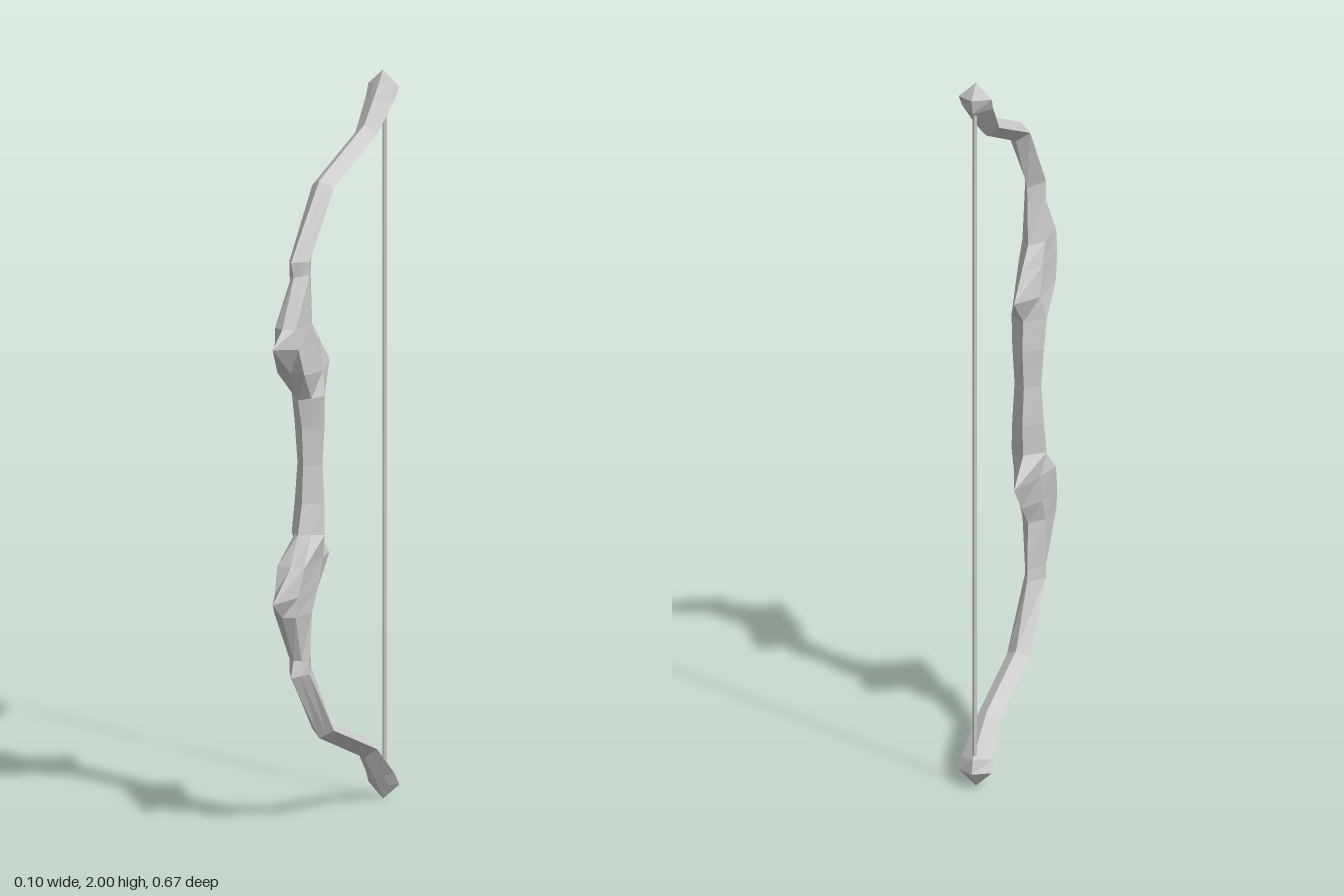
import * as THREE from 'three';

const material = new THREE.MeshStandardMaterial({ color: 0xcccccc, flatShading: true });

// One six-sided section: front ridge [z, y], side [x, z, y], back ridge [z, y],
// and a front corner [x, z, y] that lies midway between front and side unless given.
function section(front, side, back, corner) {
  const f = new THREE.Vector3(0, front[1], front[0]);
  const s = new THREE.Vector3(side[0], side[2], side[1]);
  const b = new THREE.Vector3(0, back[1], back[0]);
  const c = corner ? new THREE.Vector3(corner[0], corner[2], corner[1]) : f.clone().lerp(s, 0.5);
  const flip = (p) => new THREE.Vector3(-p.x, p.y, p.z);
  return [f, c, s, b, flip(s), flip(c)];
}

// Skin a stack of rings, leaving out collapsed triangles.
function loft(rings) {
  const points = [];
  const tri = (a, b, c) => {
    if (new THREE.Triangle(a, b, c).getArea() > 1e-8) points.push(a, b, c);
  };
  for (let r = 0; r + 1 < rings.length; r++) {
    const lo = rings[r], hi = rings[r + 1];
    for (let i = 0; i < lo.length; i++) {
      const j = (i + 1) % lo.length;
      tri(lo[i], lo[j], hi[j]);
      tri(lo[i], hi[j], hi[i]);
    }
  }
  const geometry = new THREE.BufferGeometry().setFromPoints(points);
  geometry.computeVertexNormals();
  return geometry;
}

export function createModel() {
  const group = new THREE.Group();
  group.name = 'bow';

  // Upper half, from the middle of the grip to the tip
  const upper = [
    section([0.16, 1.0], [0.038, 0.12, 1.0], [0.087, 1.0]),
    section([0.167, 1.105], [0.045, 0.122, 1.105], [0.075, 1.105]),
    section([0.19, 1.185], [0.05, 0.13, 1.19], [0.082, 1.19]),
    // Spiked guard: back spike, then front spike
    section([0.232, 1.265], [0.037, 0.115, 1.255], [0.008, 1.265], [0.041, 0.23, 1.265]),
    section([0.335, 1.35], [0.034, 0.14, 1.335], [0.068, 1.335], [0.036, 0.255, 1.34]),
    section([0.28, 1.395], [0.033, 0.17, 1.395], [0.12, 1.395], [0.031, 0.262, 1.395]),
    // Limb
    section([0.214, 1.525], [0.03, 0.18, 1.53], [0.117, 1.525]),
    section([0.23, 1.57], [0.03, 0.18, 1.565], [0.113, 1.56]),
    section([0.066, 1.765], [0.033, 0.045, 1.745], [0.024, 1.725]),
    section([-0.193, 1.868], [0.033, -0.204, 1.843], [-0.214, 1.82]),
    // Flared tip
    section([-0.245, 1.93], [0.044, -0.285, 1.925], [-0.325, 1.918]),
    section([-0.27, 1.958], [0.047, -0.305, 1.958], [-0.335, 1.958]),
    section([-0.3, 2], [0, -0.3, 2], [-0.3, 2]),
  ];

  // Lower half mirrors the upper one about y = 1
  const lower = upper.slice(1).reverse()
    .map((ring) => ring.map((p) => new THREE.Vector3(p.x, 2 - p.y, p.z)));

  const stave = new THREE.Mesh(loft([...lower, ...upper]), material);
  stave.name = 'stave';
  group.add(stave);

  // String between the tips
  const string = new THREE.Mesh(new THREE.CylinderGeometry(0.006, 0.006, 1.86, 6), material);
  string.name = 'string';
  string.position.set(0, 1, -0.31);
  group.add(string);

  return group;
}
